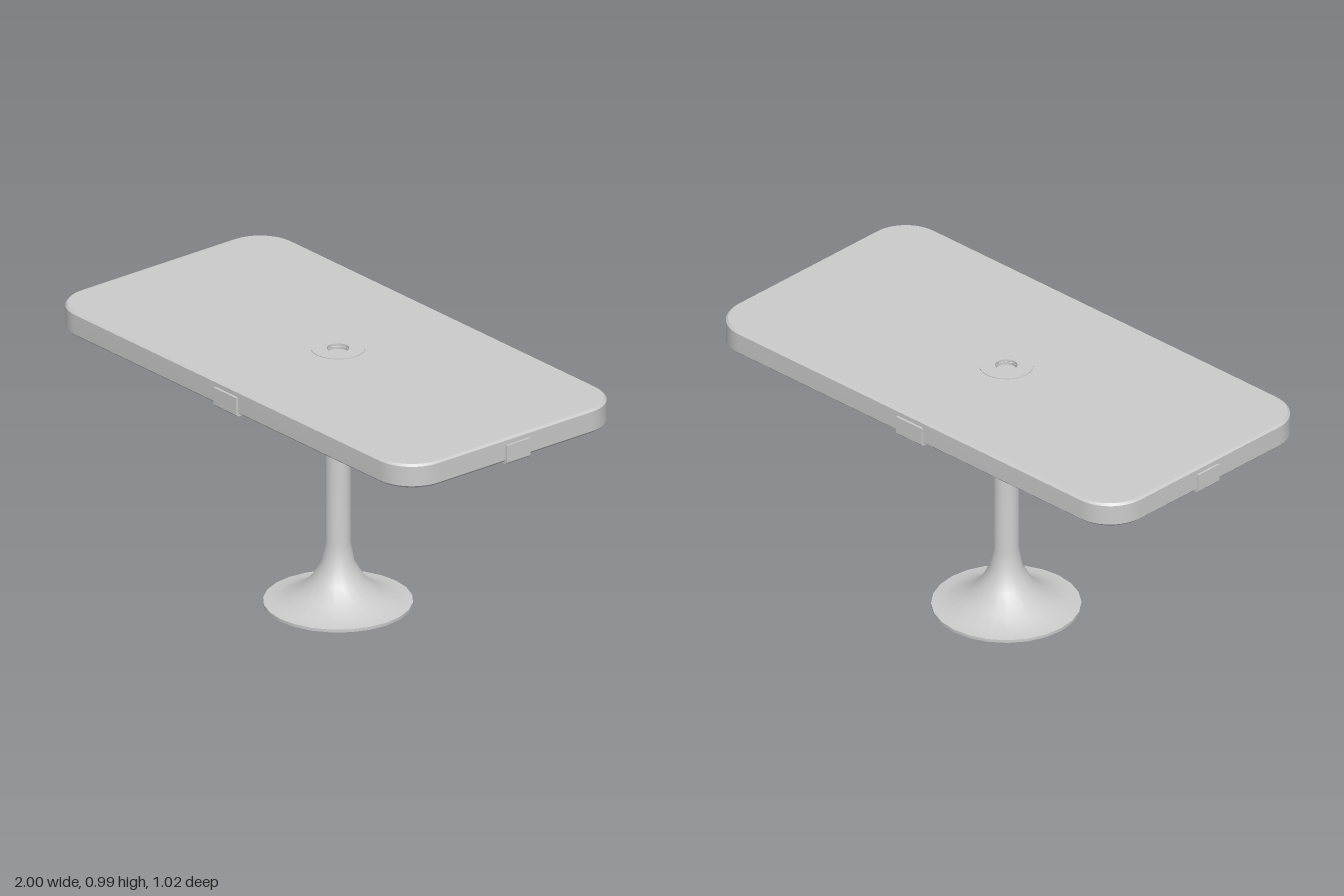
import * as THREE from 'three';
import { toCreasedNormals } from 'three/addons/utils/BufferGeometryUtils.js';

const CX = -0.003, CZ = -0.012; // pedestal axis
const material = new THREE.MeshStandardMaterial({ color: 0xcccccc, side: THREE.DoubleSide });

function part(name, geometry, crease = 0.6) {
  const mesh = new THREE.Mesh(toCreasedNormals(geometry, crease), material);
  mesh.name = name;
  return mesh;
}

function lathe(name, profile, segments = 24) {
  const points = profile.map(([r, y]) => new THREE.Vector2(r, y));
  const mesh = part(name, new THREE.LatheGeometry(points, segments));
  mesh.position.set(CX, 0, CZ);
  return mesh;
}

// Rounded slab with a small bolt hole and softened edges
function tableTop() {
  const w = 0.984, d = 0.494, r = 0.14, b = 0.008, bottom = 0.892, top = 0.983;
  const s = new THREE.Shape();
  s.absarc(w - r, d - r, r, 0, Math.PI / 2);
  s.absarc(r - w, d - r, r, Math.PI / 2, Math.PI);
  s.absarc(r - w, r - d, r, Math.PI, Math.PI * 1.5);
  s.absarc(w - r, r - d, r, Math.PI * 1.5, Math.PI * 2);
  const hole = new THREE.Path();
  hole.absarc(CX, -CZ, 0.048, 0, Math.PI * 2, true);
  s.holes.push(hole);
  const g = new THREE.ExtrudeGeometry(s, {
    depth: top - bottom - 2 * b, bevelSize: b, bevelThickness: b, bevelSegments: 1, curveSegments: 6,
  });
  g.rotateX(-Math.PI / 2);
  g.translate(0, bottom + b, 0);
  return part('tableTop', g);
}

// Flat strap under the top that turns up into a clip over the edge
function strap(name, reach, width, angle, x, z) {
  const s = new THREE.Shape([
    [0.04, 0.884], [reach - 0.008, 0.884], [reach, 0.892], [reach, 0.958],
    [reach - 0.016, 0.958], [reach - 0.016, 0.894], [0.04, 0.894],
  ].map(([px, py]) => new THREE.Vector2(px, py)));
  const g = new THREE.ExtrudeGeometry(s, { depth: width, bevelEnabled: false });
  g.translate(0, 0, -width / 2);
  const mesh = part(name, g);
  mesh.rotation.y = angle;
  mesh.position.set(x, 0, z);
  return mesh;
}

export function createModel() {
  const model = new THREE.Group();
  model.name = 'pedestalTable';
  model.add(tableTop());

  // Hollow trumpet foot flowing into the column, which closes inside the top
  model.add(lathe('pedestal', [
    [0.267, 0], [0.267, 0.011], [0.225, 0.015], [0.147, 0.046], [0.094, 0.1],
    [0.058, 0.165], [0.046, 0.24], [0.046, 0.965], [0, 0.965],
  ]));

  // Mounting flanges below and above the top
  model.add(lathe('lowerFlange', [
    [0.045, 0.878], [0.097, 0.878], [0.097, 0.886], [0.045, 0.886], [0.045, 0.878],
  ]));
  model.add(lathe('upperFlange', [
    [0.04, 0.97], [0.04, 0.986], [0.097, 0.986], [0.097, 0.982], [0.048, 0.982],
  ]));

  // Cross of four edge straps
  model.add(strap('leftStrap', 1, 0.108, 0, 0, -0.01));
  model.add(strap('rightStrap', 1, 0.108, Math.PI, 0, -0.01));
  model.add(strap('frontStrap', 0.511, 0.125, -Math.PI / 2, CX, 0));
  model.add(strap('backStrap', 0.511, 0.125, Math.PI / 2, CX, 0));
  return model;
}
